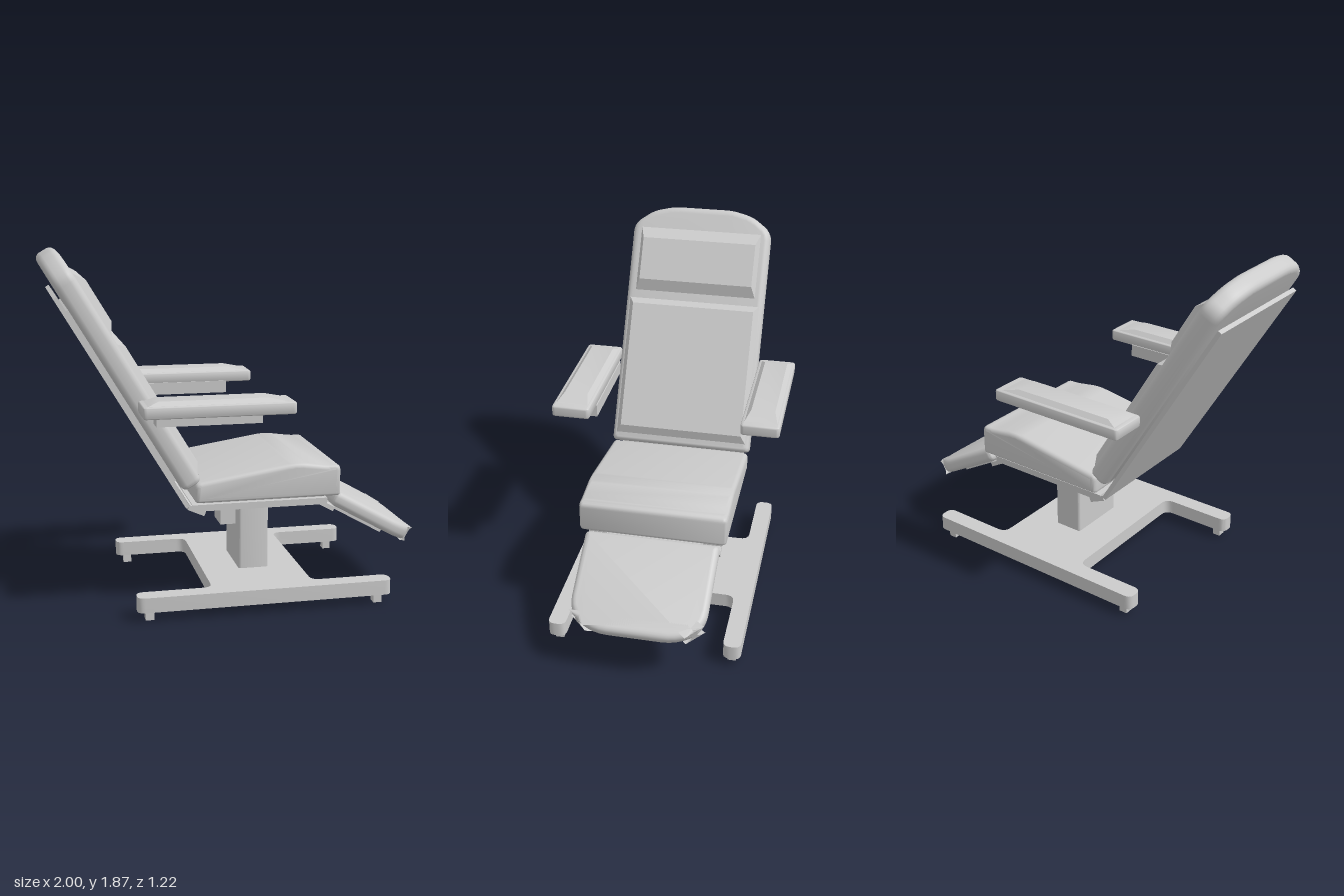
import * as THREE from 'three';
import { toCreasedNormals } from 'three/addons/utils/BufferGeometryUtils.js';

const material = new THREE.MeshStandardMaterial({ color: 0xcccccc, side: THREE.DoubleSide });

function add(parent, name, geometry, x = 0, y = 0, z = 0) {
  const mesh = new THREE.Mesh(geometry, material);
  mesh.name = name;
  mesh.position.set(x, y, z);
  parent.add(mesh);
  return mesh;
}

// Box given by its limits on each axis
function box(parent, name, [x0, x1], [y0, y1], [z0, z1]) {
  return add(parent, name, new THREE.BoxGeometry(x1 - x0, y1 - y0, z1 - z0),
    (x0 + x1) / 2, (y0 + y1) / 2, (z0 + z1) / 2);
}

// Box whose top face (+z) is pulled in at the low-x end, high-x end and both sides
function tapered(parent, name, [x0, x1], [y0, y1], [z0, z1], low, high, side) {
  const mesh = box(parent, name, [x0, x1], [y0, y1], [z0, z1]);
  const p = mesh.geometry.attributes.position;
  for (let i = 0; i < p.count; i++) {
    if (p.getZ(i) < 0) continue;
    p.setX(i, p.getX(i) + (p.getX(i) < 0 ? low : -high));
    p.setY(i, p.getY(i) - Math.sign(p.getY(i)) * side);
  }
  mesh.geometry = toCreasedNormals(mesh.geometry, 0.4);
  return mesh;
}

// Closed outline with each corner [x, y, radius] rounded
function outline(points) {
  const shape = new THREE.Shape();
  const n = points.length;
  points.forEach(([x, y, r = 0], i) => {
    const c = new THREE.Vector2(x, y);
    const toward = (q) => new THREE.Vector2(q[0], q[1]).sub(c).setLength(r).add(c);
    const a = toward(points[(i + n - 1) % n]);
    const b = toward(points[(i + 1) % n]);
    if (i === 0) shape.moveTo(a.x, a.y); else shape.lineTo(a.x, a.y);
    if (r > 0) shape.quadraticCurveTo(c.x, c.y, b.x, b.y);
  });
  shape.closePath();
  return shape;
}

// Slab from z0 to z1 with edges rounded inward by the bevel
function slab(points, z0, z1, bevel = 0) {
  const g = new THREE.ExtrudeGeometry(outline(points), {
    depth: z1 - z0 - 2 * bevel, curveSegments: 5, bevelEnabled: bevel > 0,
    bevelSize: bevel, bevelThickness: bevel, bevelOffset: -bevel, bevelSegments: 4,
  });
  g.translate(0, 0, z0 + bevel);
  return toCreasedNormals(g, 0.65);
}

// Group whose x runs along (ux, uy), y across the chair and z along its upper normal
function frame(parent, name, x, y, ux, uy, flip = 1) {
  const group = new THREE.Group();
  group.name = name;
  const u = new THREE.Vector3(ux, uy, 0).normalize();
  const n = new THREE.Vector3(-u.y * flip, u.x * flip, 0);
  group.matrix.makeBasis(u, n.clone().cross(u), n).setPosition(x, y, 0);
  group.matrix.decompose(group.position, group.quaternion, group.scale);
  parent.add(group);
  return group;
}

// Mirrors half an outline across the x axis
const mirrored = (half) => [...half, ...half.map(([x, y, r]) => [x, -y, r]).reverse()];

export function createModel() {
  const chair = new THREE.Group();
  chair.name = 'recliningChair';

  // H-shaped base with four feet
  const base = frame(chair, 'base', 0, 0, 1, 0);
  add(base, 'baseFrame', slab(mirrored([
    [-0.17, 0.425, 0.05], [-0.575, 0.425, 0.04], [-0.575, 0.52, 0.04],
    [0.79, 0.52, 0.04], [0.79, 0.425, 0.04], [0.37, 0.425, 0.05],
  ].reverse()), 0.05, 0.13));
  for (const x of [-0.51, 0.72])
    for (const z of [-0.47, 0.47])
      add(chair, 'foot', new THREE.BoxGeometry(0.045, 0.05, 0.045), x, 0.025, z);

  // Lifting column
  add(base, 'column', slab(mirrored([[0.195, 0.168, 0.015], [0.03, 0.168, 0.015]]), 0.13, 0.52));
  box(chair, 'columnHead', [0.04, 0.18], [0.51, 0.54], [-0.15, 0.15]);
  box(chair, 'actuator', [-0.055, 0.04], [0.36, 0.54], [-0.08, 0.08]);

  // Seat plate and cushion
  box(chair, 'seatPlate', [-0.26, 0.47], [0.525, 0.56], [-0.36, 0.36]);
  box(chair, 'seatSpacer', [-0.2, 0.45], [0.56, 0.59], [-0.33, 0.33]);
  add(chair, 'seatCushion', slab([
    [-0.25, 0.575, 0.02], [0.535, 0.575, 0.02], [0.535, 0.745, 0.03],
    [0.46, 0.745, 0.03], [0.3, 0.768, 0.05], [-0.25, 0.682, 0.03],
  ], -0.395, 0.395, 0.025));

  // Backrest with raised lumbar and head pads
  const back = frame(chair, 'backrest', -0.31, 0.64, -0.51, 0.86, -1);
  add(back, 'backCushion', slab(mirrored([
    [0, -0.4, 0.03], [1.27, -0.4, 0.05], [1.35, -0.29, 0.04], [1.38, -0.17, 0.04],
  ]), 0, 0.114, 0.035));
  tapered(back, 'backPad', [0.03, 0.85], [-0.385, 0.385], [0.1, 0.145], 0.06, 0.05, 0.035);
  tapered(back, 'headPad', [0.86, 1.27], [-0.355, 0.355], [0.1, 0.153], 0.08, 0.09, 0.03);
  box(back, 'backPlate', [-0.09, 1.19], [-0.36, 0.36], [-0.035, -0.012]);
  box(back, 'backSpacer', [0.05, 1.1], [-0.3, 0.3], [-0.015, 0.01]);

  // Legrest cushion and its plate
  const leg = frame(chair, 'legrest', 0.5, 0.525, 0.87, -0.49);
  add(leg, 'legCushion', slab(mirrored([
    [0, -0.36, 0.03], [0.45, -0.355, 0.08], [0.545, -0.24, 0.1],
  ]), -0.01, 0.072, 0.03));
  box(leg, 'legPlate', [-0.03, 0.37], [-0.26, 0.26], [-0.032, -0.008]);

  // Hinge plates at both ends of the seat
  const rearHinge = frame(chair, 'rearHinge', -0.24, 0.53, 0.9, -0.4);
  box(rearHinge, 'rearHingePlate', [-0.045, 0.05], [-0.36, 0.36], [-0.012, 0.015]);
  const frontHinge = frame(chair, 'frontHinge', 0.46, 0.52, 0.87, -0.49);
  box(frontHinge, 'frontHingePlate', [-0.04, 0.055], [-0.36, 0.36], [-0.012, 0.012]);

  // Armrests with supports
  for (const side of [-1, 1]) {
    const arm = frame(chair, side > 0 ? 'leftArmrest' : 'rightArmrest', 0, 0, 1, 0);
    arm.position.z = side * 0.5075;
    add(arm, 'armPad', slab(mirrored([[0.23, 0.103, 0.02], [-0.545, 0.103, 0.02]]), 1.073, 1.136, 0.012));
    tapered(arm, 'armPadTop', [-0.535, 0.215], [-0.093, 0.093], [1.13, 1.157], 0.07, 0.12, 0.03);
    box(arm, 'armSupport', [-0.465, 0.08], side > 0 ? [0.0125, 0.1075] : [-0.1075, -0.0125], [1.012, 1.08]);
  }
  return chair;
}
